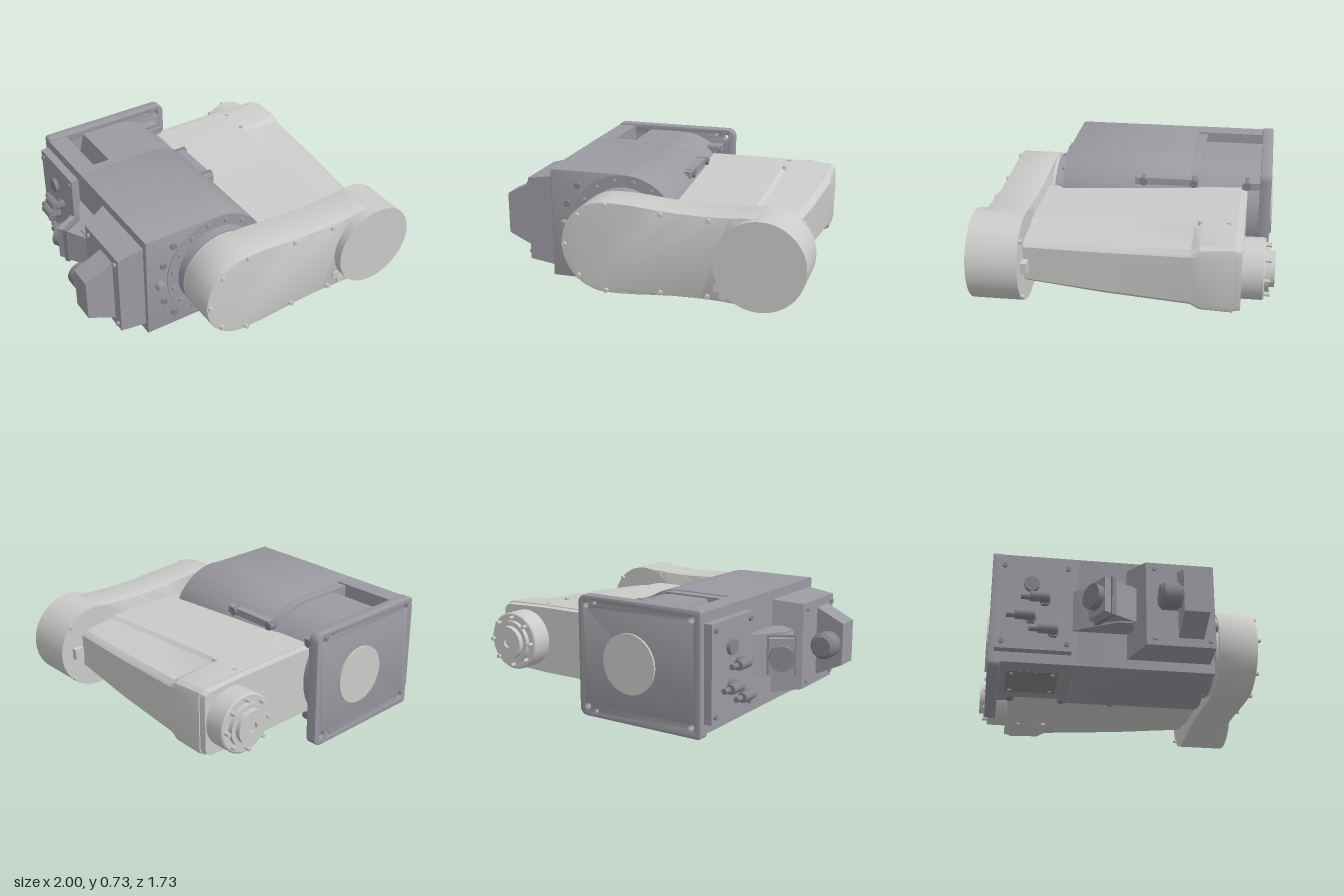
import * as THREE from 'three';
import { toCreasedNormals } from 'three/addons/utils/BufferGeometryUtils.js';

const CY = 0.375, BX = -0.18, WX = 0.73;
const mat = (name, color) => Object.assign(new THREE.MeshStandardMaterial({ color }), { name });

export function createModel() {
  const root = new THREE.Group();
  root.name = 'foldedIndustrialArm';
  const light = mat('lightCasting', 0xcbcbca);
  const dark = mat('greyCasting', 0x9b9aa1);
  const fitting = mat('greyFitting', 0x85848a);

  const add = (name, geo, m, parent = root) => {
    const mesh = new THREE.Mesh(geo, m);
    mesh.name = name;
    parent.add(mesh);
    return mesh;
  };
  // box from min and max corners
  const box = (name, m, a, b, parent) => {
    const mesh = add(name, new THREE.BoxGeometry(b[0] - a[0], b[1] - a[1], b[2] - a[2]), m, parent);
    mesh.position.set((a[0] + b[0]) / 2, (a[1] + b[1]) / 2, (a[2] + b[2]) / 2);
    return mesh;
  };
  // cylinder or cone between two points
  const rod = (name, m, r, a, b, seg = 16, r2 = r) => {
    const p = new THREE.Vector3(...a), d = new THREE.Vector3(...b).sub(p);
    const mesh = add(name, new THREE.CylinderGeometry(r2, r, d.length(), seg), m);
    mesh.position.copy(p).addScaledVector(d, 0.5);
    mesh.quaternion.setFromUnitVectors(new THREE.Vector3(0, 1, 0), d.normalize());
    return mesh;
  };
  const zRod = (name, m, r, x, y, z0, z1, seg = 48) => rod(name, m, r, [x, y, z0], [x, y, z1], seg);
  // xy outline extruded from z0 to z1
  const slab = (name, m, shape, z0, z1, bevel = 0) => {
    const geo = new THREE.ExtrudeGeometry(shape, {
      depth: z1 - z0 - 2 * bevel, curveSegments: 28, bevelEnabled: bevel > 0,
      bevelSize: bevel, bevelThickness: bevel, bevelOffset: -bevel, bevelSegments: 2,
    });
    geo.translate(0, 0, z0 + bevel);
    return add(name, toCreasedNormals(geo, 0.5), m);
  };
  // skin over cross-sections that turn counter-clockwise about the loft direction
  const loft = (name, m, sections) => {
    const v = [], n = sections[0].length, last = sections.length - 1;
    const tri = (...p) => p.forEach(q => v.push(...q));
    for (let s = 0; s < last; s++) for (let i = 0; i < n; i++) {
      const j = (i + 1) % n, A = sections[s], B = sections[s + 1];
      tri(A[i], A[j], B[j]);
      tri(A[i], B[j], B[i]);
    }
    for (let i = 1; i < n - 1; i++) {
      tri(sections[last][0], sections[last][i], sections[last][i + 1]);
      tri(sections[0][0], sections[0][i + 1], sections[0][i]);
    }
    const geo = new THREE.BufferGeometry();
    geo.setAttribute('position', new THREE.Float32BufferAttribute(v, 3));
    return add(name, toCreasedNormals(geo, 0.4), m);
  };

  // main housing: square on one side, round on the other
  const housing = (r, notch) => {
    const s = new THREE.Shape();
    s.moveTo(-0.66, CY - r);
    s.lineTo(BX, CY - r);
    s.absarc(BX, CY, r, -Math.PI / 2, Math.PI / 2, false);
    if (notch) {
      s.lineTo(-0.42, CY + r);
      s.lineTo(-0.46, CY + r - 0.16);
      s.lineTo(-0.54, CY + r - 0.16);
      s.lineTo(-0.54, CY + r);
    }
    s.lineTo(-0.66, CY + r);
    s.closePath();
    return s;
  };
  slab('mainHousing', dark, housing(0.347), -0.33, 0.48, 0.008);
  slab('housingShoulder', dark, housing(0.337), -0.39, -0.32);
  slab('rearHousing', dark, housing(0.327, true), -0.77, -0.38);
  box('upperSideRail', dark, [-0.66, 0.66, -0.77], [-0.54, 0.722, -0.32]);
  box('lowerSideRail', dark, [-0.66, 0.028, -0.77], [-0.54, 0.09, -0.32]);
  box('pocketLining', light, [-0.535, 0.54, -0.755], [-0.465, 0.547, -0.4]);
  box('bottomCover', fitting, [-0.52, 0.036, -0.72], [-0.22, 0.046, -0.42]);
  for (const x of [-0.49, -0.25]) for (const z of [-0.69, -0.45])
    rod('coverBolt', dark, 0.012, [x, 0.04, z], [x, 0.028, z], 8);

  // base flange with rounded corners and mounting holes
  const fl = new THREE.Shape(), c = 0.05, x0 = -0.66, x1 = 0.19, y0 = 0.005, y1 = 0.735;
  fl.absarc(x1 - c, y0 + c, c, -Math.PI / 2, 0, false);
  fl.absarc(x1 - c, y1 - c, c, 0, Math.PI / 2, false);
  fl.absarc(x0 + 0.02, y1 - 0.02, 0.02, Math.PI / 2, Math.PI, false);
  fl.absarc(x0 + 0.02, y0 + 0.02, 0.02, Math.PI, Math.PI * 1.5, false);
  for (const sy of [-1, 1]) for (const [x, d, r] of [[0.13, 0.305, 0.018], [0.065, 0.325, 0.011], [-0.6, 0.305, 0.018]]) {
    const h = new THREE.Path();
    h.absarc(x, CY + sy * d, r, 0, Math.PI * 2, true);
    fl.holes.push(h);
  }
  slab('baseFlange', dark, fl, -0.83, -0.76, 0.006);
  zRod('basePilot', light, 0.18, BX, 0.37, -0.843, -0.82);

  // front joint
  zRod('jointRing', dark, 0.345, BX, CY, 0.47, 0.487, 64);
  zRod('jointNeck', dark, 0.27, BX, CY, 0.48, 0.545, 64);
  zRod('jointCollar', light, 0.262, BX, CY, 0.54, 0.575, 64);
  for (let i = 0; i < 16; i++) {
    const a = (i + 0.5) * Math.PI / 8;
    zRod('ringBolt', dark, 0.014, BX + 0.31 * Math.cos(a), CY + 0.31 * Math.sin(a), 0.48, 0.505, 10);
  }
  for (const s of [-1, 1]) for (const [x, d] of [[-0.48, 0.255], [-0.55, 0.135]])
    zRod('housingBolt', fitting, 0.021, x, CY + s * d, 0.47, 0.496, 12);
  zRod('housingPlug', dark, 0.03, -0.575, CY, 0.47, 0.525, 20);

  // link between the two joints
  const link = new THREE.Shape();
  link.moveTo(BX, CY + 0.275);
  link.bezierCurveTo(0.02, CY + 0.275, 0.12, CY + 0.25, 0.3, CY + 0.248);
  link.bezierCurveTo(0.5, CY + 0.24, 0.6, CY + 0.26, 0.735, CY + 0.262);
  link.absarc(0.735, CY, 0.262, Math.PI / 2, -Math.PI / 2, true);
  link.bezierCurveTo(0.6, CY - 0.26, 0.5, CY - 0.24, 0.3, CY - 0.248);
  link.bezierCurveTo(0.12, CY - 0.25, 0.02, CY - 0.275, BX, CY - 0.275);
  link.absarc(BX, CY, 0.275, -Math.PI / 2, -Math.PI * 1.5, true);
  slab('linkArm', light, link, 0.568, 0.81, 0.004);
  zRod('elbowDrum', light, 0.264, 0.735, CY, 0.566, 0.866, 72);
  for (const [x, y] of [[-0.435, 0], [-0.35, 0.185], [BX, 0.26], [0.15, 0.235], [0.43, 0.225]])
    for (const s of y ? [-1, 1] : [1]) zRod('linkBolt', light, 0.014, x, CY + s * y, 0.8, 0.83, 10);
  for (const [x, y] of [[0.49, 0.21], [0.525, 0.165]]) zRod('linkPlug', light, 0.026, x, y, 0.8, 0.822, 16);
  box('linkStop', light, [0.86, 0.34, 0.53], [0.92, 0.41, 0.575]);
  for (const y of [0.2, 0.55]) zRod('drumBolt', light, 0.012, 0.92, y, 0.545, 0.575, 10);

  // forearm: tall inner side, a ridge, then a lower sloping outer side
  const armSection = (z, h, xr, hR, hs, he) => {
    const top = [[xr, he], [xr - 0.008, hs - 0.018], [xr - 0.035, hs], [0.62, hR], [0.595, h], [0.08, h], [0.05, h - 0.03]];
    return [...top.map(([x, y]) => [x, CY + y, z]), ...top.reverse().map(([x, y]) => [x, CY - y, z])];
  };
  loft('forearm', light, [
    armSection(-0.645, 0.217, 0.925, 0.216, 0.208, 0.15),
    armSection(-0.45, 0.212, 0.93, 0.211, 0.197, 0.15),
    armSection(-0.40, 0.208, 0.925, 0.19, 0.17, 0.14),
    armSection(0.1, 0.188, 0.89, 0.171, 0.15, 0.12),
    armSection(0.572, 0.167, 0.84, 0.15, 0.125, 0.1),
  ]);
  loft('forearmEndCap', light, [
    armSection(-0.685, 0.207, 0.915, 0.206, 0.196, 0.15),
    armSection(-0.645, 0.213, 0.918, 0.212, 0.203, 0.15),
  ]);
  for (const s of [-1, 1]) for (const z of [-0.6, -0.43])
    rod('forearmBolt', light, 0.013, [0.615, CY + s * 0.19, z], [0.615, CY + s * 0.223, z], 8);

  // wrist: stepped round flange
  const steps = [[0.178, -0.68], [0.178, -0.805], [0.17, -0.812], [0.13, -0.812], [0.13, -0.838], [0.102, -0.838], [0.102, -0.868], [0.03, -0.868], [0.03, -0.85], [0, -0.85]];
  const wrist = new THREE.LatheGeometry(steps.map(([r, z]) => new THREE.Vector2(r, -z)), 48);
  wrist.rotateX(-Math.PI / 2);
  add('wristFlange', toCreasedNormals(wrist, 0.5), light).position.set(WX, CY, 0);
  for (let i = 0; i < 8; i++) {
    const a = i * Math.PI / 4;
    zRod('wristBolt', light, 0.012, WX + 0.15 * Math.cos(a), CY + 0.15 * Math.sin(a), -0.845, -0.805, 8);
  }

  // brackets between housing and forearm, above and below
  for (const s of [-1, 1]) {
    const y = CY + s * 0.238;
    box('sideBracket', dark, [0.0, y - 0.022, -0.36], [0.1, y + 0.022, 0.02]);
    for (const z of [-0.035, -0.35, -0.68])
      rod('bracketBolt', fitting, 0.026, [0.02, y, z], [0.115, y, z], 14);
    box('rearBracket', dark, [0, y - 0.022, -0.76], [0.11, y + 0.022, -0.65]);
  }

  // motor covers on the flat side
  const quad = (x, yh, zb, zf) => [[x, CY + yh, zf], [x, CY + yh, zb], [x, CY - yh, zb], [x, CY - yh, zf]];
  loft('motorCover', dark, [quad(-0.655, 0.29, -0.04, 0.45), quad(-0.825, 0.265, 0.05, 0.45)]);
  loft('cableBox', dark, [quad(-0.82, 0.215, 0.235, 0.38), quad(-1, 0.13, 0.235, 0.38)]);
  rod('cableGlandBase', fitting, 0.07, [-0.918, CY, 0.25], [-0.918, CY, 0.21], 6);
  rod('cableGland', fitting, 0.08, [-0.918, CY, 0.215], [-0.918, CY, 0.13], 24);
  rod('cableGlandTip', fitting, 0.08, [-0.918, CY, 0.13], [-0.918, CY, 0.11], 24, 0.06);
  for (const s of [-1, 1]) for (const z of [0.1, 0.42])
    rod('motorCoverBolt', dark, 0.014, [-0.81, CY + s * 0.225, z], [-0.842, CY + s * 0.225, z], 8);

  // angled plug connector
  loft('connectorBase', dark, [quad(-0.655, 0.13, -0.36, 0.02), quad(-0.7, 0.13, -0.3, 0), quad(-0.79, 0.12, -0.1, -0.02)]);
  const plug = new THREE.Group();
  plug.name = 'connector';
  plug.position.set(-0.785, CY, -0.15);
  plug.rotation.y = 0.53;
  root.add(plug);
  box('connectorBody', dark, [-0.075, -0.11, -0.1], [0.075, 0.11, 0.13], plug);
  box('connectorFrame', fitting, [-0.085, -0.12, -0.055], [0.085, 0.12, -0.025], plug);
  const cap = add('connectorCap', new THREE.CylinderGeometry(0.075, 0.075, 0.07, 28), fitting, plug);
  cap.rotation.x = Math.PI / 2;
  cap.position.z = -0.11;

  // service panel with air fittings
  box('servicePanel', dark, [-0.71, 0.09, -0.795], [-0.655, 0.66, -0.36]);
  for (const y of [0.13, 0.62]) for (const z of [-0.76, -0.39])
    rod('panelBolt', fitting, 0.015, [-0.7, y, z], [-0.724, y, z], 8);
  rod('panelSocket', fitting, 0.045, [-0.7, 0.5, -0.6], [-0.735, 0.5, -0.6], 20);
  for (const [y, z] of [[0.2, -0.47], [0.28, -0.6], [0.4, -0.52]]) {
    rod('airFittingNut', fitting, 0.034, [-0.7, y, z], [-0.735, y, z], 6);
    rod('airFittingStem', fitting, 0.026, [-0.73, y, z], [-0.77, y, z], 14);
    rod('airFittingElbow', fitting, 0.03, [-0.765, y, z + 0.02], [-0.765, y, z - 0.09], 14);
    rod('airFittingTip', fitting, 0.017, [-0.755, y, z - 0.09], [-0.755, y, z - 0.14], 12);
  }

  return root;
}
